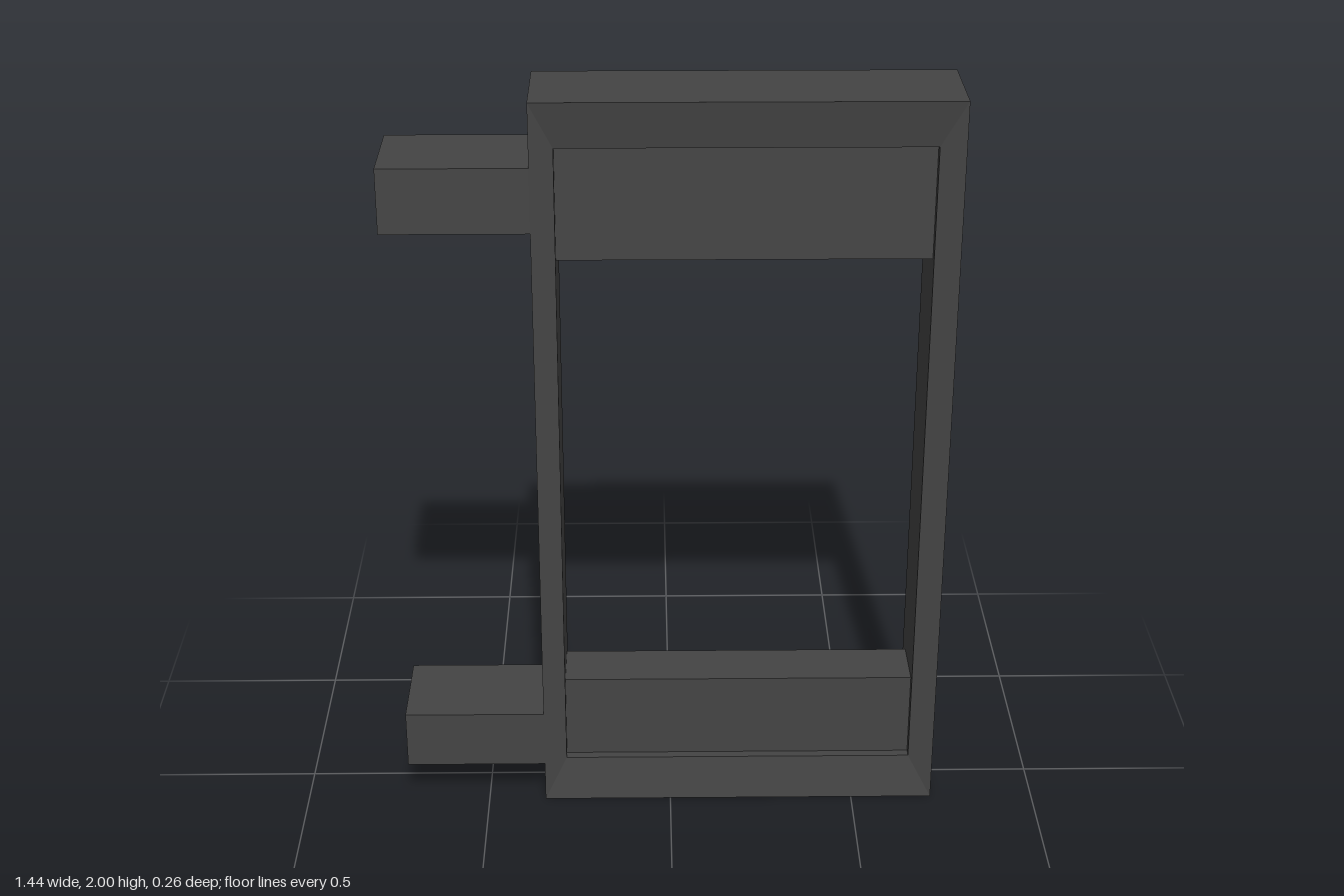
import * as THREE from 'three';

const material = new THREE.MeshStandardMaterial({ color: 0x444444, flatShading: true });

// Box given by its limits on each axis
function box(name, [x0, x1], [y0, y1], [z0, z1]) {
  const mesh = new THREE.Mesh(new THREE.BoxGeometry(x1 - x0, y1 - y0, z1 - z0), material);
  mesh.position.set((x0 + x1) / 2, (y0 + y1) / 2, (z0 + z1) / 2);
  mesh.name = name;
  return mesh;
}

// Closed rectangular frame through four rectangular loops, with mitred sloping faces
function frameGeometry(outer, inner, zOuter, zInner) {
  const loop = ([x0, x1, y0, y1], z) => [[x0, y0, z], [x1, y0, z], [x1, y1, z], [x0, y1, z]];
  const loops = [loop(outer, -zOuter), loop(outer, zOuter), loop(inner, zInner), loop(inner, -zInner)];
  const positions = [];
  for (let i = 0; i < 4; i++) {
    const a = loops[i], b = loops[(i + 1) % 4];
    for (let j = 0; j < 4; j++) {
      const k = (j + 1) % 4;
      positions.push(...a[j], ...a[k], ...b[k], ...a[j], ...b[k], ...b[j]);
    }
  }
  const geometry = new THREE.BufferGeometry();
  geometry.setAttribute('position', new THREE.Float32BufferAttribute(positions, 3));
  geometry.computeVertexNormals();
  return geometry;
}

export function createModel() {
  const model = new THREE.Group();
  model.name = 'windowFrame';

  // Outer frame, its faces sloping slightly inwards to the opening
  const frame = new THREE.Mesh(
    frameGeometry([-0.345, 0.72, 0, 2], [-0.285, 0.655, 0.125, 1.88], 0.13, 0.115), material);
  frame.name = 'frame';
  model.add(frame);

  // Recessed panels at the top and bottom of the opening
  model.add(box('upperPanel', [-0.285, 0.655], [1.58, 1.88], [-0.06, 0.09]));
  model.add(box('lowerPanel', [-0.285, 0.655], [0.125, 0.36], [-0.06, 0.09]));

  // Side arms
  model.add(box('upperArm', [-0.72, -0.345], [1.665, 1.835], [-0.13, 0.13]));
  model.add(box('lowerArm', [-0.72, -0.345], [0.115, 0.275], [-0.13, 0.13]));

  return model;
}
